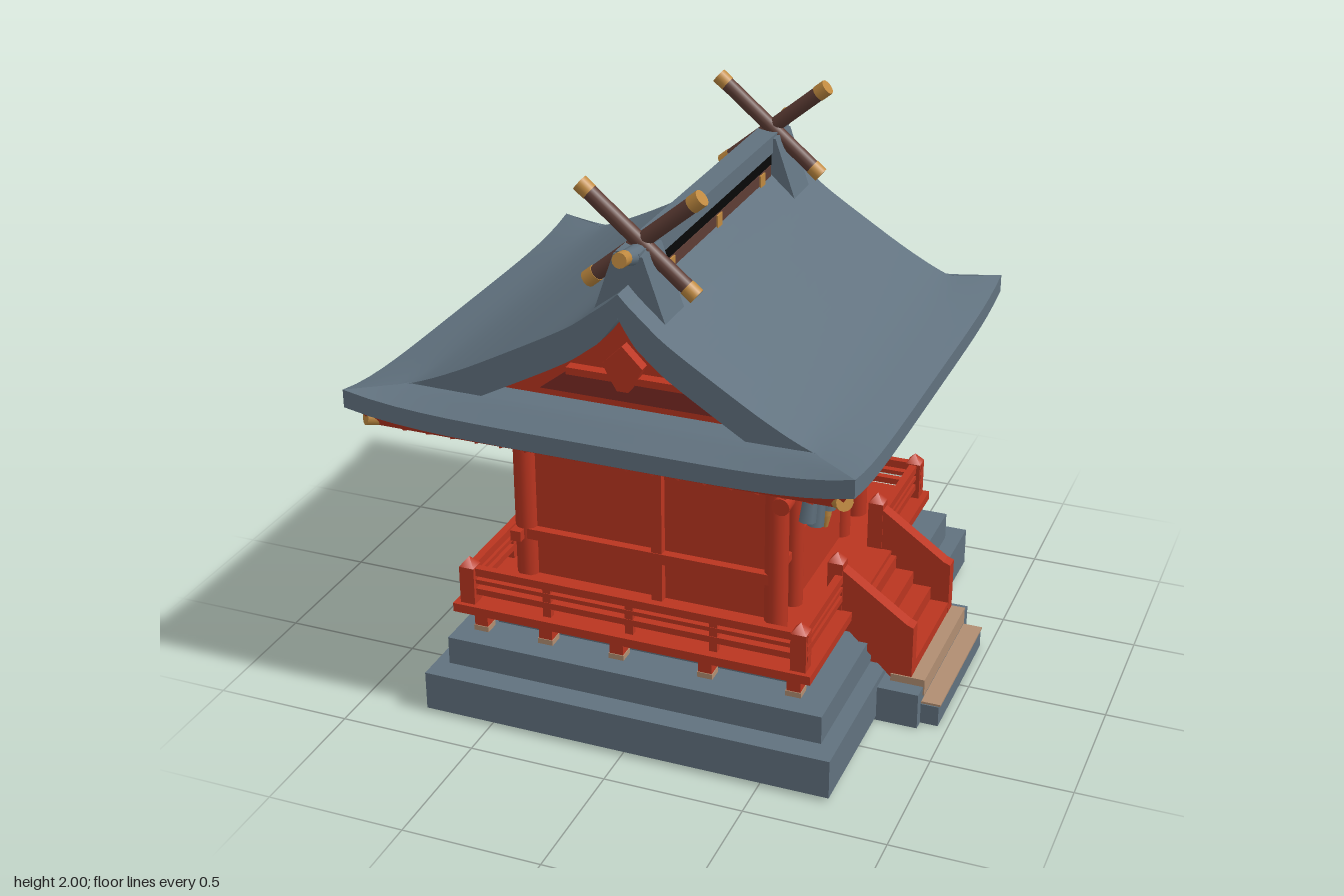
import * as THREE from 'three';
import { toCreasedNormals } from 'three/addons/utils/BufferGeometryUtils.js';

const material = (name, color) => Object.assign(new THREE.MeshStandardMaterial({ color }), { name });
const slate = material('slate', 0x61727f);
const red = material('vermilion', 0xbb3520);
const darkRed = material('dark red', 0x7c2a24);
const gold = material('gold', 0xc08a40);
const brown = material('dark wood', 0x5e3d35);
const tan = material('tan stone', 0xb18e72);
const black = material('black', 0x080808);

export function createModel() {
  const model = new THREE.Group();
  const add = (name, geometry, mat) => {
    const mesh = new THREE.Mesh(geometry, mat);
    mesh.name = name;
    model.add(mesh);
    return mesh;
  };
  // Box given by its minimum and maximum on each axis
  const box = (name, mat, x0, x1, y0, y1, z0, z1) => {
    const g = new THREE.BoxGeometry(x1 - x0, y1 - y0, z1 - z0);
    return add(name, g.translate((x0 + x1) / 2, (y0 + y1) / 2, (z0 + z1) / 2), mat);
  };
  // Round bar between two points
  const bar = (name, mat, a, b, r, r2 = r, sides = 12) => {
    const p = new THREE.Vector3(...a), q = new THREE.Vector3(...b);
    const mesh = add(name, new THREE.CylinderGeometry(r2, r, p.distanceTo(q), sides), mat);
    mesh.position.copy(p).add(q).multiplyScalar(0.5);
    mesh.quaternion.setFromUnitVectors(new THREE.Vector3(0, 1, 0), q.sub(p).normalize());
    return mesh;
  };
  // Closed curved slab: top(u, v) gives a point, thick(u) the depth below it
  const slab = (name, mat, nu, nv, top, thick) => {
    const pos = [], idx = [], ring = 2 * (nv + 1);
    for (let i = 0; i <= nu; i++) for (let k = 0; k < ring; k++) {
      const j = k <= nv ? k : ring - 1 - k;
      const [x, y, z] = top(i / nu, (j / nv) * 2 - 1);
      pos.push(x, k <= nv ? y : y - thick(i / nu), z);
    }
    const quad = (a, b, c, d) => idx.push(a, b, c, a, c, d);
    for (let i = 0; i < nu; i++) for (let k = 0; k < ring; k++) {
      const a = i * ring, n = (k + 1) % ring;
      quad(a + k, a + n, a + ring + n, a + ring + k);
    }
    for (let j = 0; j < nv; j++) {
      const e = nu * ring;
      quad(j, ring - 1 - j, ring - 2 - j, j + 1);
      quad(e + j, e + j + 1, e + ring - 2 - j, e + ring - 1 - j);
    }
    // Turn the faces outward if the slab came out inverted
    const v = (i) => new THREE.Vector3().fromArray(pos, i * 3);
    let volume = 0;
    for (let i = 0; i < idx.length; i += 3) volume += v(idx[i]).dot(v(idx[i + 1]).cross(v(idx[i + 2])));
    if (volume < 0) idx.reverse();
    const g = new THREE.BufferGeometry();
    g.setAttribute('position', new THREE.Float32BufferAttribute(pos, 3));
    g.setIndex(idx);
    return add(name, toCreasedNormals(g, 0.6), mat);
  };
  const extrude = (name, mat, pts, z0, z1) => {
    const shape = new THREE.Shape(pts.map((p) => new THREE.Vector2(...p)));
    const g = new THREE.ExtrudeGeometry(shape, { depth: z1 - z0, bevelEnabled: false });
    return add(name, g.translate(0, 0, z0), mat);
  };

  // Stepped stone base with a dark underside
  box('baseLower', slate, -0.75, 0.75, 0.015, 0.16, -0.85, 0.85);
  box('baseMiddle', slate, -0.7, 0.69, 0.16, 0.265, -0.76, 0.76);
  box('baseTop', slate, -0.58, 0.57, 0.265, 0.335, -0.6, 0.6);
  box('baseUnderside', black, -0.69, 0.69, 0.01, 0.016, -0.79, 0.79);

  // Stone entry steps
  box('entryStone', slate, 0.7, 0.9, 0, 0.135, -0.325, 0.325);
  box('entryTread', tan, 0.78, 0.905, 0.1, 0.163, -0.265, 0.265);
  box('entryLowerStone', slate, 0.85, 0.965, 0, 0.077, -0.285, 0.285);
  box('entryLowerTread', tan, 0.9, 0.97, 0.077, 0.085, -0.28, 0.28);

  // Veranda deck on short stubs
  box('deck', red, -0.7, 0.63, 0.345, 0.378, -0.71, 0.71);
  const stub = (x, z) => {
    box('stubFoot', tan, x - 0.028, x + 0.028, 0.262, 0.285, z - 0.028, z + 0.028);
    box('stub', red, x - 0.025, x + 0.025, 0.285, 0.35, z - 0.025, z + 0.025);
  };
  for (const s of [-1, 1]) for (const x of [-0.61, -0.36, -0.09, 0.24, 0.56]) stub(x, s * 0.65);
  for (const z of [-0.36, 0, 0.36]) stub(-0.61, z);

  // Railings, open at the stairs
  const rails = [[0.425, 0.012], [0.465, 0.008], [0.502, 0.015]];
  const post = (x, z, y1, r = 0.028) => {
    box('railPost', red, x - r, x + r, 0.34, y1 - 0.03, z - r, z + r);
    const cap = add('postCap', new THREE.ConeGeometry(r * 1.41, 0.035, 4).rotateY(Math.PI / 4), red);
    cap.position.set(x, y1 - 0.0125, z);
  };
  for (const s of [-1, 1]) {
    post(-0.65, s * 0.665, 0.55);
    post(0.58, s * 0.665, 0.55);
    post(0.565, s * 0.235, 0.59);
    for (const [y, h] of rails) {
      box('sideRail', red, -0.68, 0.61, y - h, y + h, s * 0.665 - 0.014, s * 0.665 + 0.014);
      box('frontRail', red, 0.566, 0.594, y - h, y + h, Math.min(s * 0.235, s * 0.69), Math.max(s * 0.235, s * 0.69));
    }
    for (const x of [-0.35, -0.04, 0.27]) box('railBaluster', red, x - 0.015, x + 0.015, 0.37, 0.5, s * 0.665 - 0.012, s * 0.665 + 0.012);
    // Sloping stair sides
    const pts = [[0.56, 0.56], [0.83, 0.37], [0.855, 0.36], [0.855, 0.145], [0.78, 0.145], [0.6, 0.32], [0.56, 0.345]];
    extrude('stairSide', red, pts, s * 0.235 - 0.025, s * 0.235 + 0.025);
  }
  for (const [y, h] of rails) box('backRail', red, -0.664, -0.636, y - h, y + h, -0.69, 0.69);
  for (const z of [-0.33, 0, 0.33]) box('railBaluster', red, -0.662, -0.638, 0.37, 0.5, z - 0.015, z + 0.015);
  for (let i = 0; i < 4; i++) box('stairTread', red, 0.58, 0.65 + i * 0.068, 0.15, 0.36 - i * 0.052, -0.21, 0.21);

  // Hall walls, columns and panel frames
  box('hall', red, -0.53, 0.38, 0.36, 1.12, -0.455, 0.455);
  const column = (x, z, r = 0.042) => bar('column', red, [x, 0.36, z], [x, 1.09, z], r);
  for (const s of [-1, 1]) {
    column(-0.525, s * 0.45);
    column(0.415, s * 0.45);
    column(0.415, s * 0.27, 0.035);
    box('sideMidPost', red, -0.035, 0.005, 0.37, 0.95, s * 0.465 - 0.02, s * 0.465 + 0.02);
    for (const [y0, y1] of [[0.37, 0.41], [0.56, 0.6], [0.93, 1]]) {
      box('sideRailBeam', red, y0 > 0.9 ? -0.6 : -0.53, y0 > 0.9 ? 0.5 : 0.42, y0, y1, s * 0.468 - 0.02, s * 0.468 + 0.02);
    }
    box('frontSidePanel', red, 0.37, 0.4, 0.37, 0.95, s * 0.36 - 0.09, s * 0.36 + 0.09);
    box('frontPanelRail', red, 0.38, 0.42, 0.57, 0.6, s * 0.36 - 0.09, s * 0.36 + 0.09);
    // Frieze panels and gold nail covers under the eave
    for (const [x0, x1, m] of [[-0.48, -0.43, slate], [-0.43, -0.3, tan], [-0.25, -0.11, slate], [-0.03, 0.15, slate], [0.15, 0.19, tan], [0.2, 0.36, slate]]) {
      box('friezePanel', m, x0, x1, 1.002, 1.085, s * 0.46 - 0.005, s * 0.46 + 0.005);
    }
    for (const x of [-0.57, -0.075, 0.47]) bar('nailCover', gold, [x, 0.967, s * 0.485], [x, 0.967, s * 0.5], 0.02);
    for (const x of [-0.55, -0.07, 0.43]) box('bracket', red, x - 0.035, x + 0.035, 1.01, 1.1, s * 0.5 - 0.07, s * 0.5 + 0.07);
    bar('beamKnob', red, [0.46, 0.905, s * 0.49], [0.46, 0.905, s * 0.55], 0.032);
    bar('beamCap', gold, [0.44, 0.97, s * 0.5], [0.5, 0.97, s * 0.54], 0.03);
  }
  for (const [y0, y1] of [[0.37, 0.41], [0.56, 0.6], [0.93, 1]]) box('backBeam', red, -0.56, -0.52, y0, y1, -0.52, 0.52);
  box('backMidPost', red, -0.55, -0.52, 0.37, 0.95, -0.02, 0.02);
  box('frontBeam', red, 0.38, 0.455, 0.93, 1.0, -0.53, 0.53);
  for (const z of [-0.45, -0.22, 0, 0.22, 0.45]) {
    box('bracketBack', red, -0.62, -0.5, 1.01, 1.1, z - 0.03, z + 0.03);
    box('bracketFront', red, 0.38, 0.51, 1.01, 1.1, z - 0.03, z + 0.03);
  }
  // Entrance door and plaque
  box('door', darkRed, 0.38, 0.388, 0.64, 0.87, -0.175, 0.175);
  box('doorSill', red, 0.38, 0.42, 0.36, 0.63, -0.24, 0.24);
  box('plaqueFrame', gold, 0.46, 0.49, 0.85, 1.02, -0.07, 0.07);
  box('plaqueFace', darkRed, 0.487, 0.494, 0.866, 1.004, -0.054, 0.054);

  // Rope with hanging paper strips
  const rope = new THREE.CatmullRomCurve3([[0.47, 0.98, 0.56], [0.5, 0.93, 0.42], [0.52, 0.86, 0.2], [0.525, 0.835, 0], [0.52, 0.86, -0.2], [0.5, 0.93, -0.42], [0.47, 0.98, -0.56]].map((p) => new THREE.Vector3(...p)));
  add('rope', new THREE.TubeGeometry(rope, 40, 0.021, 10), gold);
  for (const s of [-1, 1]) for (const [z, y0, y1] of [[0.31, 0.87, 0.74], [0.22, 0.82, 0.68], [0.09, 0.82, 0.68]]) {
    bar('paperStrip', slate, [0.49, y0, s * z], [0.48, y1, s * (z + 0.015)], 0.024, 0.03, 6).scale.x = 0.7;
  }
  bar('centreStrip', tan, [0.44, 0.82, 0], [0.44, 0.72, 0], 0.02, 0.018, 6);
  bar('bellKnot', gold, [0.44, 0.6, 0], [0.44, 0.67, 0], 0.022, 0.03, 8);
  bar('bellTail', gold, [0.44, 0.55, 0], [0.44, 0.6, 0], 0.01, 0.022, 8);

  // Hip-and-gable roof: two curved slopes and a narrow skirt at each gable
  const ridgeX = -0.01;
  const profile = [[0, 1.69], [0.04, 1.655], [0.1, 1.61], [0.2, 1.54], [0.41, 1.428], [0.61, 1.328], [0.79, 1.255], [1, 1.2]];
  const curve = new THREE.SplineCurve(profile.map((p) => new THREE.Vector2(...p)));
  const lift = (v, k) => 0.042 * Math.pow(Math.abs(v), 5) * k;
  for (const [name, half] of [['backSlope', -0.96], ['entranceSlope', 0.83]]) {
    slab(name, slate, 28, 20, (u, v) => {
      const p = curve.getPoint(u);
      const flare = Math.max(0, (p.x - 0.79) / 0.21);
      return [ridgeX + half * p.x, p.y + lift(v, flare), v * (0.785 + 0.105 * flare)];
    }, (u) => 0.065 + 0.055 * Math.min(1, (1 - u) * 4, 0.3 + u * 3));
  }
  for (const s of [-1, 1]) {
    slab('gableSkirt', slate, 8, 20, (u, v) => {
      const z = 0.66 + 0.23 * u, flare = Math.max(0, (z - 0.785) / 0.105);
      const half = (v < 0 ? 0.96 : 0.83) * (0.79 + 0.21 * flare);
      return [ridgeX + half * v, 1.255 - 0.055 * flare + lift(v, flare), s * z];
    }, () => 0.065);
    // Gable trim
    extrude('gableShadowPanel', darkRed, [[-0.33, 1.28], [0.29, 1.28], [0.2, 1.365], [-0.22, 1.365]], s * 0.705 - 0.004, s * 0.705 + 0.004);
    box('gableBeam', red, -0.22, 0.2, 1.36, 1.385, s * 0.72 - 0.02, s * 0.72 + 0.02);
    extrude('gablePendant', red, [[-0.08, 1.43], [-0.06, 1.39], [-0.03, 1.34], [0.01, 1.34], [0.04, 1.39], [0.06, 1.43], [-0.01, 1.5]], s * 0.74 - 0.02, s * 0.74 + 0.02);
  }
  extrude('gableWall', red, [[-0.64, 1.2], [0.54, 1.2], [0.25, 1.42], [-0.01, 1.65], [-0.28, 1.42]], -0.7, 0.7);

  // Red soffit tapering from the eave to the hall, made of rectangular rings
  const rings = [[0.03, 1.165], [0.07, 1.095], [0.2, 1.09], [0.43, 1.085]];
  const corner = (inset, y) => [[-0.97, -1], [0.82, -1], [0.82, 1], [-0.97, 1]].map(([x, s]) => [x < 0 ? x + inset : x - inset, y, s * (0.89 - inset)]);
  const soffit = [];
  for (let r = 0; r < rings.length - 1; r++) for (let k = 0; k < 4; k++) {
    const a = corner(...rings[r]), b = corner(...rings[r + 1]), n = (k + 1) % 4;
    soffit.push(a[k], a[n], b[n], a[k], b[n], b[k]);
  }
  const soffitGeometry = new THREE.BufferGeometry();
  soffitGeometry.setAttribute('position', new THREE.Float32BufferAttribute(soffit.flat(), 3));
  soffitGeometry.computeVertexNormals();
  add('soffit', soffitGeometry, red);
  // Rafters under the eaves and gold corner caps
  for (const s of [-1, 1]) {
    for (let i = 0; i < 17; i++) {
      const x = -0.8 + i * 0.0906, z = -0.72 + i * 0.09;
      bar('rafter', red, [x, 1.092, s * 0.8], [x * 0.8, 1.078, s * 0.5], 0.016, 0.016, 4);
      const ex = s < 0 ? -0.88 : 0.73;
      bar('rafter', red, [ex, 1.092, z], [s < 0 ? -0.56 : 0.44, 1.07, z * 0.75], 0.016, 0.016, 4);
    }
    for (const [x, d] of [[-0.9, -1], [0.75, 1]]) {
      bar('cornerRafter', red, [x - d * 0.3, 1.06, s * 0.53], [x, 1.12, s * 0.81], 0.028);
      bar('cornerCap', gold, [x - d * 0.012, 1.118, s * 0.8], [x + d * 0.022, 1.128, s * 0.835], 0.031);
    }
  }

  // Ridge beam over a dark gap and a studded board, with raised ends
  box('ridgeBeam', slate, -0.052, 0.03, 1.735, 1.8, -0.7, 0.7);
  box('ridgeShadow', black, -0.045, 0.025, 1.69, 1.736, -0.55, 0.55);
  box('ridgeBoard', brown, -0.05, 0.028, 1.64, 1.692, -0.53, 0.53);
  for (const z of [-0.43, 0, 0.43]) box('ridgeStud', gold, -0.056, 0.034, 1.645, 1.69, z - 0.022, z + 0.022);
  for (const s of [-1, 1]) {
    bar('ridgeEnd', slate, [0, 1.765, s * 0.6], [0, 1.8, s * 0.75], 0.04, 0.025);
    bar('ridgeEndCap', gold, [0, 1.8, s * 0.745], [0, 1.807, s * 0.79], 0.026);
    extrude('ridgeSaddle', slate, [[-0.14, 1.56], [0.12, 1.56], [0.075, 1.69], [0.04, 1.79], [-0.06, 1.79], [-0.095, 1.69]], s * 0.62 - 0.08, s * 0.62 + 0.08);
    // Crossed finials with gold tips
    for (const d of [-1, 1]) {
      const at = (t) => [d * (-0.2 + 0.385 * t), 1.975 - 0.32 * t, s * 0.615 + d * 0.004];
      bar('finialBeam', brown, at(0.04), at(0.96), 0.027);
      bar('finialTip', gold, at(-0.02), at(0.07), 0.029);
      bar('finialTip', gold, at(0.93), at(1.02), 0.029);
    }
  }
  return model;
}
